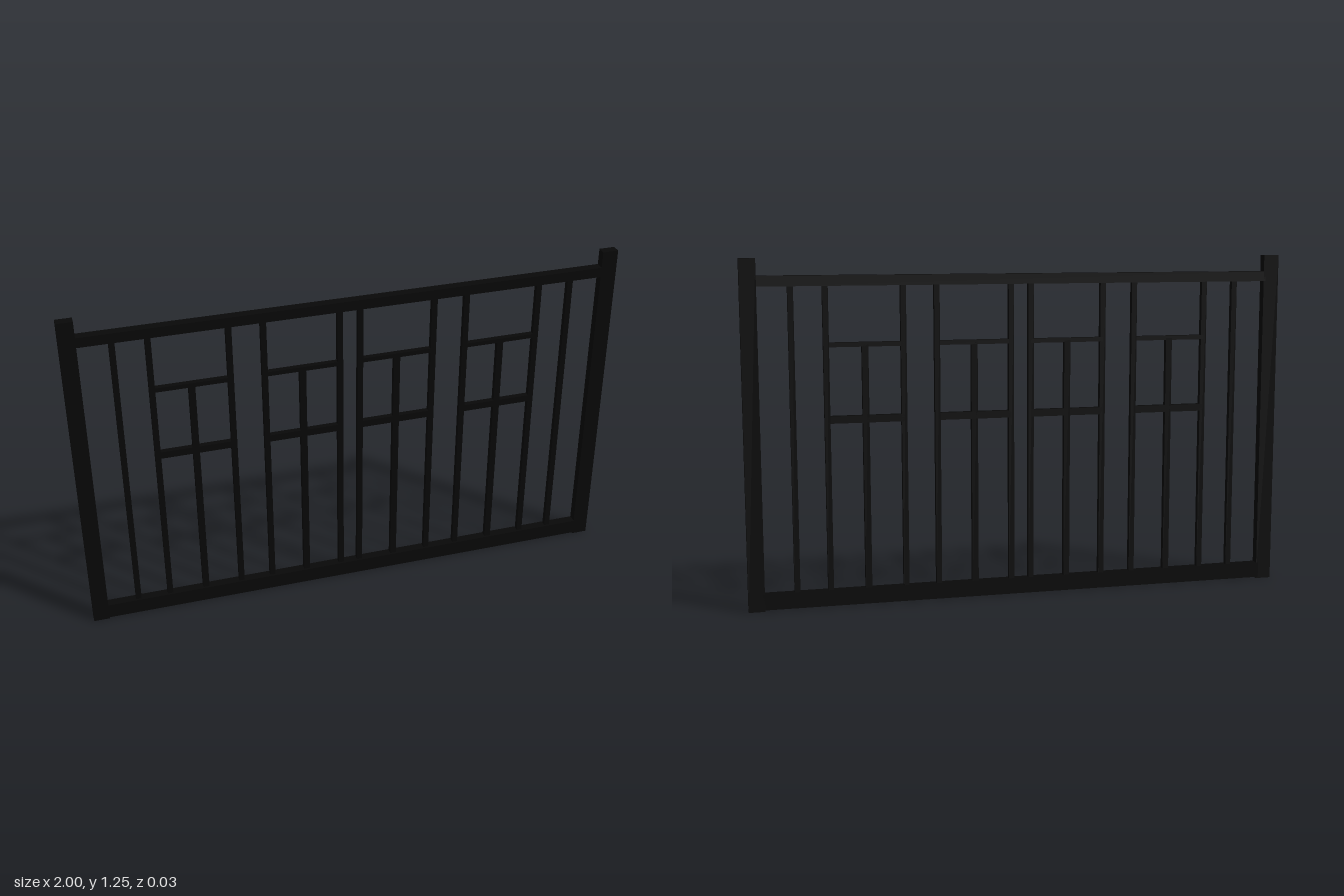
import * as THREE from 'three';

export function createModel() {
  const group = new THREE.Group();
  const material = new THREE.MeshStandardMaterial({ color: 0x080808 });

  // Box given by its horizontal and vertical extents, centred on z = 0
  function bar(name, x0, x1, y0, y1, depth) {
    const mesh = new THREE.Mesh(new THREE.BoxGeometry(x1 - x0, y1 - y0, depth), material);
    mesh.position.set((x0 + x1) / 2, (y0 + y1) / 2, 0);
    mesh.name = name;
    group.add(mesh);
  }
  const upright = (name, x, width, top) =>
    bar(name, x - width / 2, x + width / 2, 0.05, top, 0.02);

  // Frame rails
  bar('bottomRail', -0.95, 0.95, 0.005, 0.062, 0.033);
  bar('topRail', -0.95, 0.95, 1.153, 1.19, 0.033);

  for (const side of [-1, 1]) {
    // End post
    bar('endPost', side * 0.971 - 0.029, side * 0.971 + 0.029, 0, 1.25, 0.033);

    // Full-height balusters
    for (const x of [0.037, 0.31, 0.431, 0.706, 0.826]) {
      upright('baluster', side * x, 0.02, 1.16);
    }

    // Two panels: crossbars with a shorter bar in the middle
    for (const [inner, outer, middle] of [[0.037, 0.31, 0.174], [0.431, 0.706, 0.569]]) {
      const x0 = Math.min(side * inner, side * outer);
      const x1 = Math.max(side * inner, side * outer);
      bar('upperCrossbar', x0, x1, 0.938, 0.954, 0.02);
      bar('lowerCrossbar', x0, x1, 0.667, 0.693, 0.02);
      upright('shortBaluster', side * middle, 0.023, 0.945);
    }
  }
  return group;
}
